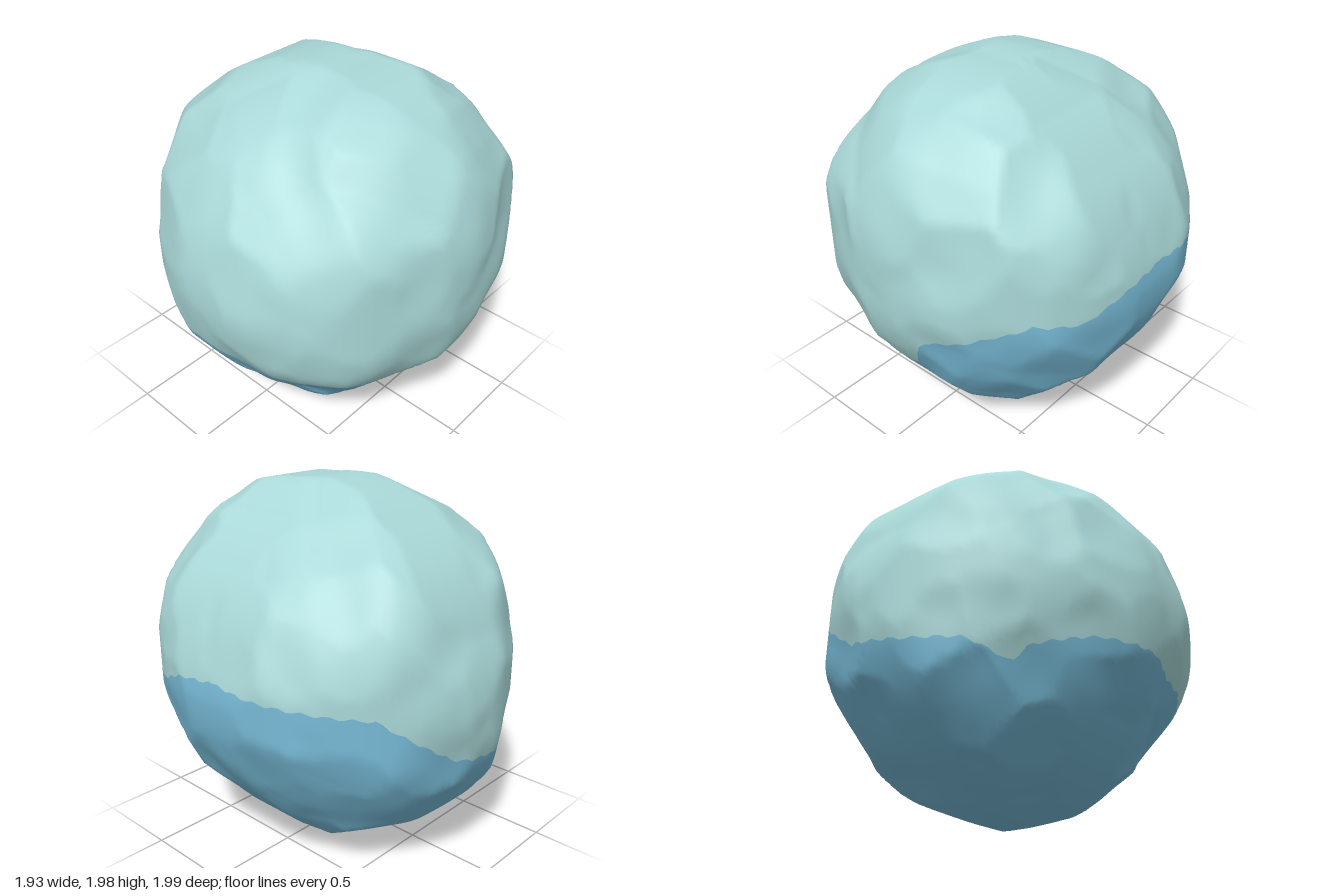
import * as THREE from 'three';

// Outline radii every 20 degrees, turning from axis a to axis b
const C = 0.7071, UP = 0.9063, LEAN = 0.2988;
const outline = (a, b, radii) => ({ a: new THREE.Vector3(...a), b: new THREE.Vector3(...b), radii });
const OUTLINES = [
  outline([1, 0, 0], [0, 1, 0],
    [.97, .945, .935, .945, 1.01, .995, .975, .96, .96, .96, .953, .908, .93, .965, .997, .96, .945, .968]),
  outline([0, 0, 1], [0, 1, 0],
    [.995, 1.055, 1.1, 1.06, .995, .985, .955, .965, .95, .987, 1, 1, .98, 1, 1, .99, .97, 1.003]),
  outline([1, 0, 0], [0, 0, 1],
    [.982, 1, 1.03, 1.015, 1.01, 1.004, .99, 1.008, 1.002, .967, .927, .895, .9, .945, 1.01, .997, .98, .985]),
  outline([C, 0, -C], [-LEAN, UP, -LEAN],
    [1.005, 1.025, 1.03, 1.02, .98, .95, .963, .95, 1.005, 1.01, 1.01, .935, .935, 1.027, 1.015, .975, .965, .975]),
  outline([-C, 0, C], [LEAN, UP, LEAN],
    [1.01, 1.053, 1.02, 1.08, 1.087, 1.02, .94, .958, .98, .997, 1.023, 1, 1, 1, .952, .95, .925, 1]),
  outline([-C, 0, -C], [LEAN, UP, -LEAN],
    [.888, .905, .982, .97, 1.015, .945, .965, 1.03, 1.055, 1.03, 1, 1.01, 1.05, 1.01, .963, .962, .923, .887]),
];

// Height of the colour line: angle from +x towards +z in degrees, then y
const COLOUR_LINE = [0, 1.1, 15, 1.07, 30, .97, 44, 1, 65, .85, 77, .77, 84, .53, 90, .48,
  115, .55, 130, .62, 168, .65, 180, .7, 202, .69, 225, .61, 231, .53, 245, .65,
  262, .68, 285, .75, 300, .92, 310, 1.03, 345, 1.08, 360, 1.1];

function outlineRadius(radii, x, y) {
  const turn = (Math.atan2(y, x) / (2 * Math.PI) + 1) * radii.length;
  const i = Math.floor(turn);
  return THREE.MathUtils.lerp(radii[i % radii.length], radii[(i + 1) % radii.length], turn - i);
}

function lineHeight(deg) {
  let i = 0;
  while (COLOUR_LINE[i + 2] < deg) i += 2;
  const t = (deg - COLOUR_LINE[i]) / (COLOUR_LINE[i + 2] - COLOUR_LINE[i]);
  return THREE.MathUtils.lerp(COLOUR_LINE[i + 1], COLOUR_LINE[i + 3], t) + 0.008 * Math.sin(deg * 0.9);
}

// Jittered directions of the chipped facets
function facetNormals(count) {
  let seed = 11;
  const rand = () => (seed = (seed * 16807) % 2147483647) / 2147483647 - 0.5;
  return Array.from({ length: count }, (_, i) => {
    const y = 1 - 2 * (i + 0.5) / count, r = Math.sqrt(1 - y * y), a = i * 2.39996;
    return new THREE.Vector3(r * Math.cos(a) + rand() * 0.25, y + rand() * 0.25, r * Math.sin(a) + rand() * 0.25).normalize();
  });
}

export function createModel() {
  const facets = facetNormals(75);

  // Blend the outlines, chip facets between them and stay inside every outline
  const surfacePoint = (d) => {
    let sum = 0, total = 0, near = 1, limit = 2;
    for (const { a, b, radii } of OUTLINES) {
      const x = d.dot(a), y = d.dot(b);
      const flat = Math.max(Math.hypot(x, y), 1e-4);
      const off2 = Math.max(0, 1 - flat * flat);
      const r = outlineRadius(radii, x, y);
      const w = 1 / (off2 + 0.012) ** 1.5;
      sum += r * w;
      total += w;
      near = Math.min(near, Math.sqrt(off2));
      limit = Math.min(limit, r / flat);
    }
    let chip = 2;
    for (const n of facets) {
      const c = n.dot(d);
      if (c > 0.5) chip = Math.min(chip, 0.982 / c);
    }
    const mix = 0.25 + 0.75 * THREE.MathUtils.smoothstep(near, 0, 0.25);
    const rough = 0.003 * Math.sin(13 * d.x + 5 * d.y) * Math.sin(11 * d.z - 9 * d.y);
    const radius = sum / total * THREE.MathUtils.lerp(1, chip, mix) + rough;
    return d.clone().multiplyScalar(Math.min(radius, limit));
  };

  // Rings run from the bottom to the colour line, then on to the top
  const cols = 180, half = 54, rows = half * 2;
  const points = [surfacePoint(new THREE.Vector3(0, -1, 0))];
  for (let j = 1; j < rows; j++) {
    for (let i = 0; i < cols; i++) {
      const theta = i / cols * Math.PI * 2;
      const split = Math.asin((lineHeight(i / cols * 360) - 1) / 0.96);
      const lat = j <= half
        ? THREE.MathUtils.lerp(-Math.PI / 2, split, j / half)
        : THREE.MathUtils.lerp(split, Math.PI / 2, (j - half) / half);
      const c = Math.cos(lat);
      points.push(surfacePoint(new THREE.Vector3(c * Math.cos(theta), Math.sin(lat), c * Math.sin(theta))));
    }
  }
  points.push(surfacePoint(new THREE.Vector3(0, 1, 0)));

  const at = (j, i) => j === 0 ? 0 : j === rows ? points.length - 1 : 1 + (j - 1) * cols + i % cols;
  const index = [];
  let lowerCount = 0;
  for (let j = 0; j < rows; j++) {
    if (j === half) lowerCount = index.length;
    for (let i = 0; i < cols; i++) {
      const a = at(j, i), b = at(j, i + 1), c = at(j + 1, i + 1), d = at(j + 1, i);
      if (j > 0) index.push(a, c, b);
      if (j < rows - 1) index.push(a, d, c);
    }
  }

  const geometry = new THREE.BufferGeometry().setFromPoints(points);
  geometry.setIndex(index);
  geometry.addGroup(0, lowerCount, 0);
  geometry.addGroup(lowerCount, index.length - lowerCount, 1);

  // Stand on the ground
  geometry.computeBoundingBox();
  geometry.translate(0, -geometry.boundingBox.min.y, 0);
  geometry.computeVertexNormals();

  const blue = new THREE.MeshStandardMaterial({ color: 0x77bad6 });
  blue.name = 'lowerBlue';
  const teal = new THREE.MeshStandardMaterial({ color: 0xaad8d8 });
  teal.name = 'paleTeal';

  const boulder = new THREE.Mesh(geometry, [blue, teal]);
  boulder.name = 'boulder';
  const group = new THREE.Group();
  group.name = 'iceBoulder';
  group.add(boulder);
  return group;
}
